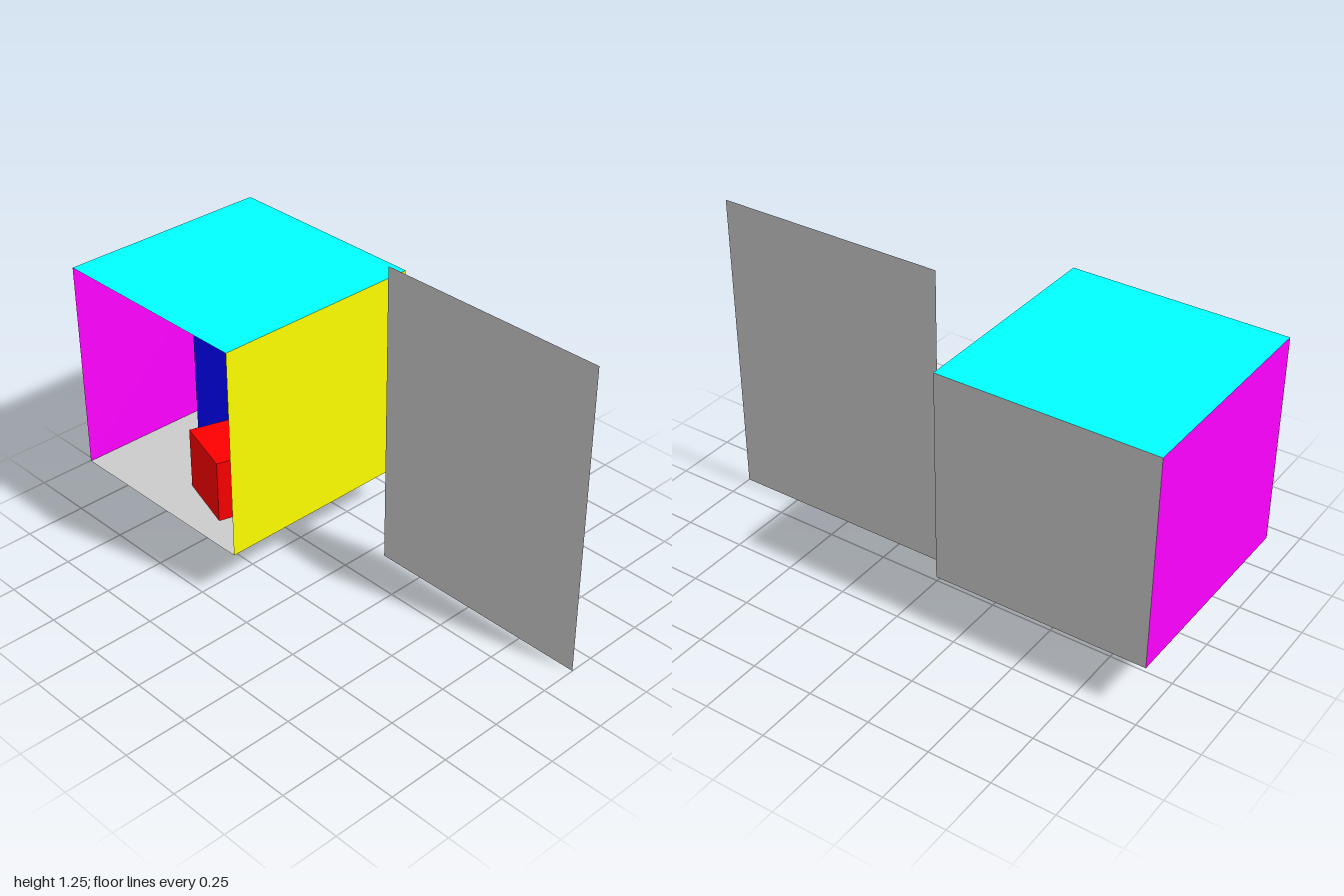
import * as THREE from 'three';

const S = 0.00156; // scale of the room's own units

const mat = (color) => new THREE.MeshStandardMaterial({ color, side: THREE.DoubleSide });

function add(parent, name, geometry, color) {
  const mesh = new THREE.Mesh(geometry, mat(color));
  mesh.name = name;
  parent.add(mesh);
  return mesh;
}

// Flat four-cornered wall, corners in order around the edge
function quad(corners) {
  const g = new THREE.BufferGeometry();
  g.setAttribute('position', new THREE.Float32BufferAttribute(corners.flat(), 3));
  g.setIndex([0, 1, 2, 0, 2, 3]);
  g.computeVertexNormals();
  return g;
}

// Upright block from its footprint
function block(footprint, height) {
  const shape = new THREE.Shape(footprint.map(([x, z]) => new THREE.Vector2(x, z)));
  const g = new THREE.ExtrudeGeometry(shape, { depth: height, bevelEnabled: false });
  return g.rotateX(-Math.PI / 2);
}

export function createModel() {
  const model = new THREE.Group();
  model.name = 'roomAndPanel';

  // Open-fronted room: origin at its front, bottom, right corner
  const room = new THREE.Group();
  room.name = 'room';
  room.position.set(-0.133, 0.2, 0.436);
  room.scale.setScalar(S);
  model.add(room);

  const H = 548.8, D = -559.2, W = -556;
  const floorFront = [-552.8, 0, 0], floorBack = [-549.6, 0, D];
  const roofFront = [W, H, 0], roofBack = [W, H, D];
  const rightFront = [0, 0, 0], rightBack = [0, 0, D];
  const rightRoofFront = [0, H, 0], rightRoofBack = [0, H, D];

  add(room, 'floor', quad([floorFront, rightFront, rightBack, floorBack]), 0xcccccc);
  add(room, 'ceiling', quad([roofFront, roofBack, rightRoofBack, rightRoofFront]), 0x00ffff);
  add(room, 'backWall', quad([floorBack, rightBack, rightRoofBack, roofBack]), 0xcccccc);
  add(room, 'yellowWall', quad([rightFront, rightRoofFront, rightRoofBack, rightBack]), 0xffff00);
  add(room, 'purpleWall', quad([floorFront, floorBack, roofBack, roofFront]), 0xff00ff);

  // Blocks standing on the floor, lifted a hair to keep the surfaces apart
  const shortBlock = add(room, 'shortBlock',
    block([[-130, 65], [-82, 225], [-240, 272], [-290, 114]], 164.5), 0xff0000);
  const tallBlock = add(room, 'tallBlock',
    block([[-423, 247], [-265, 296], [-314, 456], [-472, 406]], 329.5), 0x0000ff);
  shortBlock.position.y = tallBlock.position.y = 0.5;

  // Coarse, smoothly shaded ball floating above the short block
  const ball = add(model, 'ball', new THREE.IcosahedronGeometry(0.156, 1), 0xdd00ff);
  ball.position.set(-0.34, 0.628, -0.11);
  ball.rotation.set(0.3, 0.2, 0.25);

  // Separate upright panel
  const panel = add(model, 'panel', new THREE.PlaneGeometry(0.94, 1.25), 0xcccccc);
  panel.position.set(0.53, 0.625, -0.15);

  return model;
}
